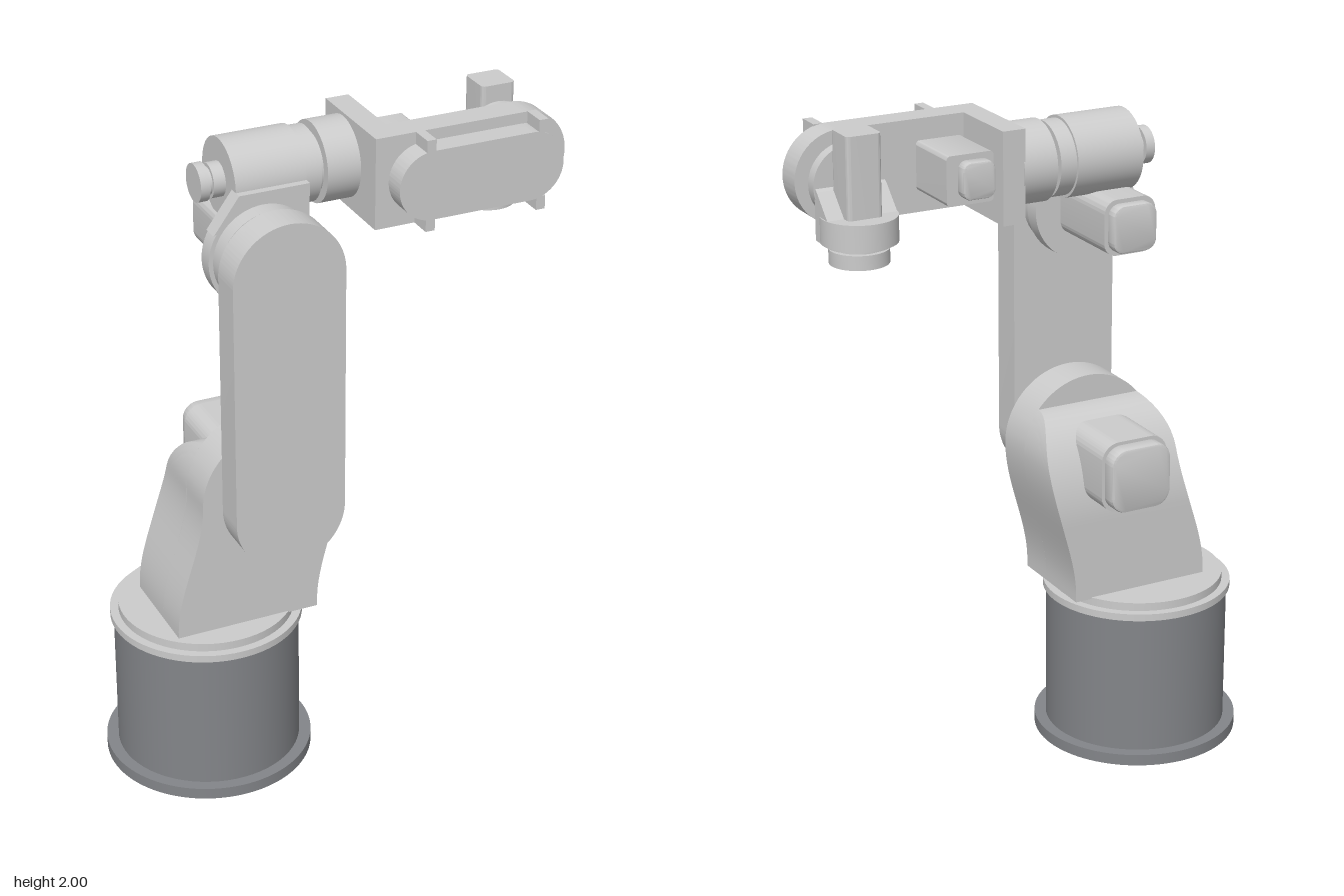
import * as THREE from 'three';
import { toCreasedNormals } from 'three/addons/utils/BufferGeometryUtils.js';

const light = new THREE.MeshStandardMaterial({ color: 0xcccccc });
const dark = new THREE.MeshStandardMaterial({ color: 0x838589 });

export function createModel() {
  const root = new THREE.Group();

  function add(name, geometry, x = 0, y = 0, z = 0, material = light) {
    const mesh = new THREE.Mesh(geometry, material);
    mesh.name = name;
    mesh.position.set(x, y, z);
    root.add(mesh);
    return mesh;
  }
  // box given by its limits on each axis
  const box = (name, x0, x1, y0, y1, z0, z1) =>
    add(name, new THREE.BoxGeometry(x1 - x0, y1 - y0, z1 - z0), (x0 + x1) / 2, (y0 + y1) / 2, (z0 + z1) / 2);
  // cylinder along an axis, from a to b, centred on c (the two other coordinates in x, y, z order)
  function cyl(name, axis, r, a, b, [u, v], material = light) {
    const g = new THREE.CylinderGeometry(r, r, b - a, 64);
    const m = (a + b) / 2;
    if (axis === 'x') return add(name, g.rotateZ(Math.PI / 2), m, u, v, material);
    if (axis === 'z') return add(name, g.rotateX(Math.PI / 2), u, v, m, material);
    return add(name, g, u, m, v, material);
  }
  // shape in the xy plane, extruded from z0 to z1
  function plate(name, shape, z0, z1, bevel = 0) {
    const g = new THREE.ExtrudeGeometry(shape, {
      depth: z1 - z0 - bevel, bevelEnabled: bevel > 0, bevelSize: bevel, bevelThickness: bevel,
      bevelOffset: -bevel, bevelSegments: 2, curveSegments: 32,
    });
    return add(name, toCreasedNormals(g, 0.6), 0, 0, z0 + bevel / 2);
  }
  // rectangle with rounded corners
  function rounded(x0, x1, y0, y1, r) {
    const s = new THREE.Shape();
    s.absarc(x1 - r, y1 - r, r, 0, Math.PI / 2);
    s.absarc(x0 + r, y1 - r, r, Math.PI / 2, Math.PI);
    s.absarc(x0 + r, y0 + r, r, Math.PI, Math.PI * 1.5);
    s.absarc(x1 - r, y0 + r, r, Math.PI * 1.5, Math.PI * 2);
    s.closePath();
    return s;
  }
  const square = (x, y, h, r) => rounded(x - h, x + h, y - h, y + h, r);

  // Base: drilled foot flange, drum and two top rings
  const BX = -0.365;
  const foot = new THREE.Shape().absarc(0, 0, 0.31, 0, Math.PI * 2);
  foot.holes.push(new THREE.Path().absarc(0, 0, 0.13, 0, Math.PI * 2, true));
  for (let i = 0; i < 6; i++) {
    const a = (i / 6) * Math.PI * 2;
    foot.holes.push(new THREE.Path().absarc(0.22 * Math.cos(a), 0.22 * Math.sin(a), 0.011, 0, Math.PI * 2, true));
  }
  const footGeo = new THREE.ExtrudeGeometry(foot, { depth: 0.035, bevelEnabled: false, curveSegments: 48 });
  add('baseFlange', toCreasedNormals(footGeo.rotateX(-Math.PI / 2), 0.6), BX, 0, 0, dark);
  cyl('baseDrum', 'y', 0.275, 0.034, 0.47, [BX, 0], dark);
  cyl('baseRing', 'y', 0.285, 0.468, 0.49, [BX, 0]);
  cyl('turntable', 'y', 0.26, 0.49, 0.515, [BX, 0]);

  // Shoulder: waisted front outline whose top falls away in a curve toward the back
  const JX = -0.225, SY = 0.93, SR = 0.215, Y0 = 0.51;
  const side = (y, sign) => {
    if (y >= SY) return JX + sign * Math.sqrt(Math.max(0, SR * SR - (y - SY) ** 2));
    const t = Math.min(1, (SY - y) / 0.4);
    return JX + sign * SR - (sign < 0 ? 0.085 : 0.075) * t * t * (3 - 2 * t);
  };
  const slices = [[0.18, 1.145], [0.06, 1.145]];
  for (let i = 0; i <= 16; i++) {
    const a = (i / 16) * Math.PI / 2;
    slices.push([0.06 - 0.185 * Math.sin(a), 0.76 + 0.305 * Math.cos(a)]);
  }
  slices.push([-0.125, 0.76]);
  const N = 36;
  const rings = slices.map(([z, top]) => {
    const left = [], right = [];
    for (let j = 0; j <= N; j++) {
      const y = Y0 + (top - Y0) * Math.sin((j / N) * Math.PI / 2);
      left.push([side(y, -1), y, z]);
      right.push([side(y, 1), y, z]);
    }
    return [...left, ...right.reverse()];
  });
  const pos = [];
  const quad = (a, b, c, d) => pos.push(...a, ...b, ...d, ...b, ...c, ...d);
  const M = 2 * N + 2;
  for (let i = 0; i < rings.length - 1; i++) {
    for (let k = 0; k < M; k++) {
      const n = (k + 1) % M;
      quad(rings[i][k], rings[i][n], rings[i + 1][n], rings[i + 1][k]);
    }
  }
  const first = rings[0], last = rings[rings.length - 1];
  for (let j = 0; j < N; j++) {
    const l = j, r = M - 1 - j;
    quad(first[l], first[r], first[r - 1], first[l + 1]);
    quad(last[r], last[l], last[l + 1], last[r - 1]);
  }
  const shoulder = new THREE.BufferGeometry();
  shoulder.setAttribute('position', new THREE.Float32BufferAttribute(pos, 3));
  add('shoulder', toCreasedNormals(shoulder, 0.5));
  plate('shoulderMotor', square(JX, 0.928, 0.108, 0.055), -0.215, 0.05);
  plate('shoulderMotorCap', square(JX, 0.928, 0.098, 0.05), -0.255, -0.21, 0.008);
  cyl('shoulderJoint', 'z', 0.15, 0.17, 0.22, [JX, SY]);

  // Upper arm link
  const EY = 1.663;
  plate('upperArm', rounded(-0.394, -0.06, 0.765, 1.83, 0.1669), 0.215, 0.315);

  // Elbow: stepped joint, bracket up to the forearm housing, motor behind
  cyl('elbowJoint', 'z', 0.125, 0.18, 0.22, [JX, EY]);
  cyl('elbowRing', 'z', 0.15, 0.135, 0.185, [JX, EY]);
  const bracket = new THREE.Shape();
  bracket.moveTo(-0.085, 1.85);
  bracket.lineTo(-0.295, 1.85);
  bracket.lineTo(-0.372, 1.745);
  bracket.absarc(JX, EY, 0.163, Math.PI * 0.82, Math.PI * 2.18);
  bracket.closePath();
  plate('elbowBracket', bracket, 0.085, 0.135);
  plate('elbowMotor', square(JX, 1.667, 0.082, 0.04), -0.17, 0.09);
  plate('elbowMotorCap', square(JX, 1.667, 0.07, 0.035), -0.2, -0.165, 0.006);

  // Forearm roll unit along x
  const RC = [1.847, -0.005];
  cyl('forearmHousing', 'x', 0.118, -0.295, -0.085, RC);
  cyl('rollRing', 'x', 0.11, -0.09, -0.035, RC);
  cyl('rollGroove', 'x', 0.09, -0.04, -0.015, RC);
  cyl('rollCollar', 'x', 0.118, -0.02, 0.085, RC);
  cyl('rollMotorNeck', 'x', 0.05, -0.33, -0.29, RC);
  cyl('rollMotorStep', 'x', 0.04, -0.345, -0.325, RC);
  cyl('rollMotorEnd', 'x', 0.055, -0.37, -0.342, RC);

  // Forearm: end plate, rounded side plate, belt cover and ribs
  const FY = 1.84, WX = 0.535;
  box('forearmEndPlate', 0.08, 0.15, 1.705, 1.975, -0.118, 0.2);
  const arm = new THREE.Shape();
  arm.moveTo(0.08, FY + 0.135);
  arm.lineTo(0.08, FY - 0.135);
  arm.absarc(WX, FY, 0.135, -Math.PI / 2, Math.PI / 2);
  arm.closePath();
  plate('forearmSidePlate', arm, 0.12, 0.203);
  plate('beltCover', rounded(0.12, 0.628, 1.738, 1.942, 0.1019), 0.2, 0.272);
  for (const x of [0.215, 0.56]) {
    for (const s of [-1, 1]) {
      const y = FY + s * 0.115;
      box('coverRib', x - 0.014, x + 0.014, y - 0.02, y + 0.02, 0.2, 0.272);
    }
  }
  plate('wristMotor', rounded(0.155, 0.3, 1.768, 1.912, 0.012), -0.07, 0.125);
  plate('wristMotorCap', rounded(0.165, 0.265, 1.788, 1.895, 0.025), -0.102, -0.065, 0.006);

  // Wrist: pivot on the side plate, gusset, drive post and tool flange
  cyl('wristPivot', 'z', 0.09, 0.08, 0.125, [WX, FY]);
  cyl('wristDisc', 'z', 0.11, 0.05, 0.085, [WX, FY]);
  const gusset = new THREE.Shape([
    [0.055, 1.69], [0.055, 1.84], [0.04, 1.83], [-0.03, 1.76], [-0.03, 1.69],
  ].map(([z, y]) => new THREE.Vector2(-z, y)));
  const gussetGeo = new THREE.ExtrudeGeometry(gusset, { depth: 0.21, bevelEnabled: false });
  add('wristGusset', gussetGeo.rotateY(Math.PI / 2), WX - 0.105, 0, 0);
  cyl('wristBody', 'y', 0.109, 1.69, 1.765, [WX, -0.003]);
  const post = new THREE.ExtrudeGeometry(square(0, 0, 0.052, 0.012), { depth: 0.25, bevelEnabled: false });
  add('drivePost', toCreasedNormals(post.rotateX(-Math.PI / 2), 0.6), 0.538, 1.75, -0.003);
  const flange = [[0, 1.66], [0.04, 1.66], [0.04, 1.63], [0.085, 1.63], [0.085, 1.672],
    [0.07, 1.672], [0.07, 1.682], [0.095, 1.682], [0.095, 1.695], [0, 1.695]];
  const flangeGeo = new THREE.LatheGeometry(flange.map(([r, y]) => new THREE.Vector2(r, y)), 48);
  add('toolFlange', toCreasedNormals(flangeGeo, 0.6), 0.537, 0, -0.003);

  return root;
}
